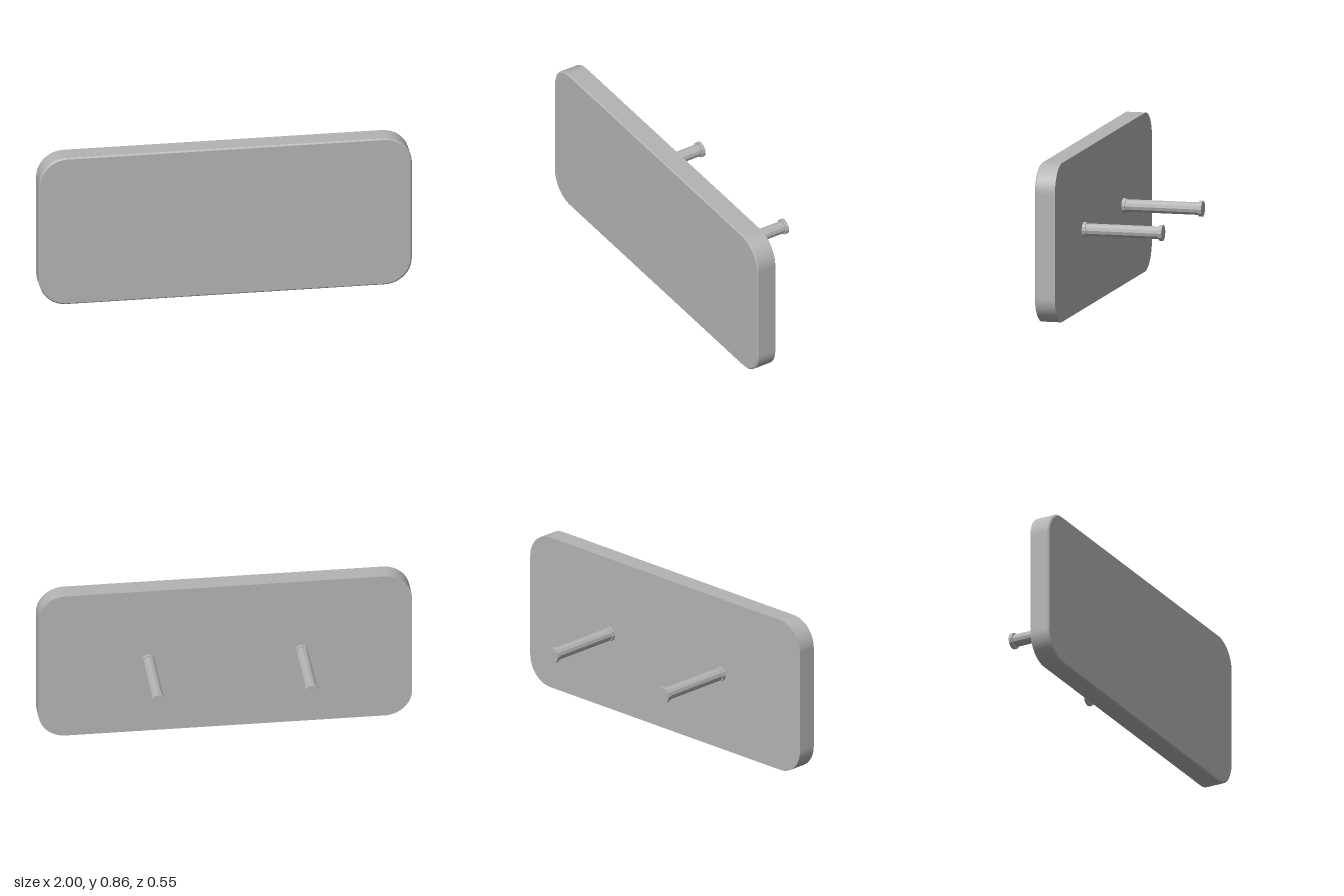
import * as THREE from 'three';

const W = 2, H = 0.855, R = 0.146;        // panel width, height, corner radius
const BACK = 0.163, DEPTH = 0.112, BEVEL = 0.007;

// Rounded rectangle centred on the origin
function panelShape() {
  const x = W / 2 - R, y = H / 2 - R, q = Math.PI / 2;
  const s = new THREE.Shape();
  [[x, y], [-x, y], [-x, -y], [x, -y]].forEach(([cx, cy], i) =>
    s.absarc(cx, cy, R, i * q, (i + 1) * q, false));
  return s;
}

// Slab with a fine chamfer around the front face only
function panelGeometry() {
  const g = new THREE.ExtrudeGeometry(panelShape(), {
    depth: DEPTH, steps: 2, bevelEnabled: false, curveSegments: 8,
  });
  const p = g.attributes.position;
  for (let i = 0; i < p.count; i++) {
    const z = p.getZ(i);
    if (z > DEPTH * 0.75) {
      p.setX(i, p.getX(i) * (1 - 2 * BEVEL / W));
      p.setY(i, p.getY(i) * (1 - 2 * BEVEL / H));
    } else if (z > DEPTH * 0.25) p.setZ(i, DEPTH - BEVEL);
  }
  g.computeVertexNormals();
  return g;
}

export function createModel() {
  const metal = new THREE.MeshStandardMaterial({ color: 0xb4b4b4, flatShading: true });
  metal.name = 'grey metal';
  const model = new THREE.Group();
  model.name = 'mountedPanel';

  const panel = new THREE.Mesh(panelGeometry(), metal);
  panel.name = 'panel';
  panel.position.set(0, H / 2, BACK);
  model.add(panel);

  // Two pegs behind the panel: collar, rod and end cap
  for (const side of [1, -1]) {
    const peg = new THREE.Group();
    peg.name = side > 0 ? 'leftPeg' : 'rightPeg';
    peg.position.set(side * 0.41, H / 2, 0);
    const disc = (name, radius, z0, z1) => {
      const g = new THREE.CylinderGeometry(radius, radius, z1 - z0, 12).rotateX(Math.PI / 2);
      const m = new THREE.Mesh(g, metal);
      m.name = name;
      m.position.z = (z0 + z1) / 2;
      peg.add(m);
    };
    disc('collar', 0.04, 0.145, BACK);
    disc('rod', 0.034, -0.256, 0.145);
    disc('endCap', 0.043, -0.275, -0.256);
    model.add(peg);
  }
  return model;
}
